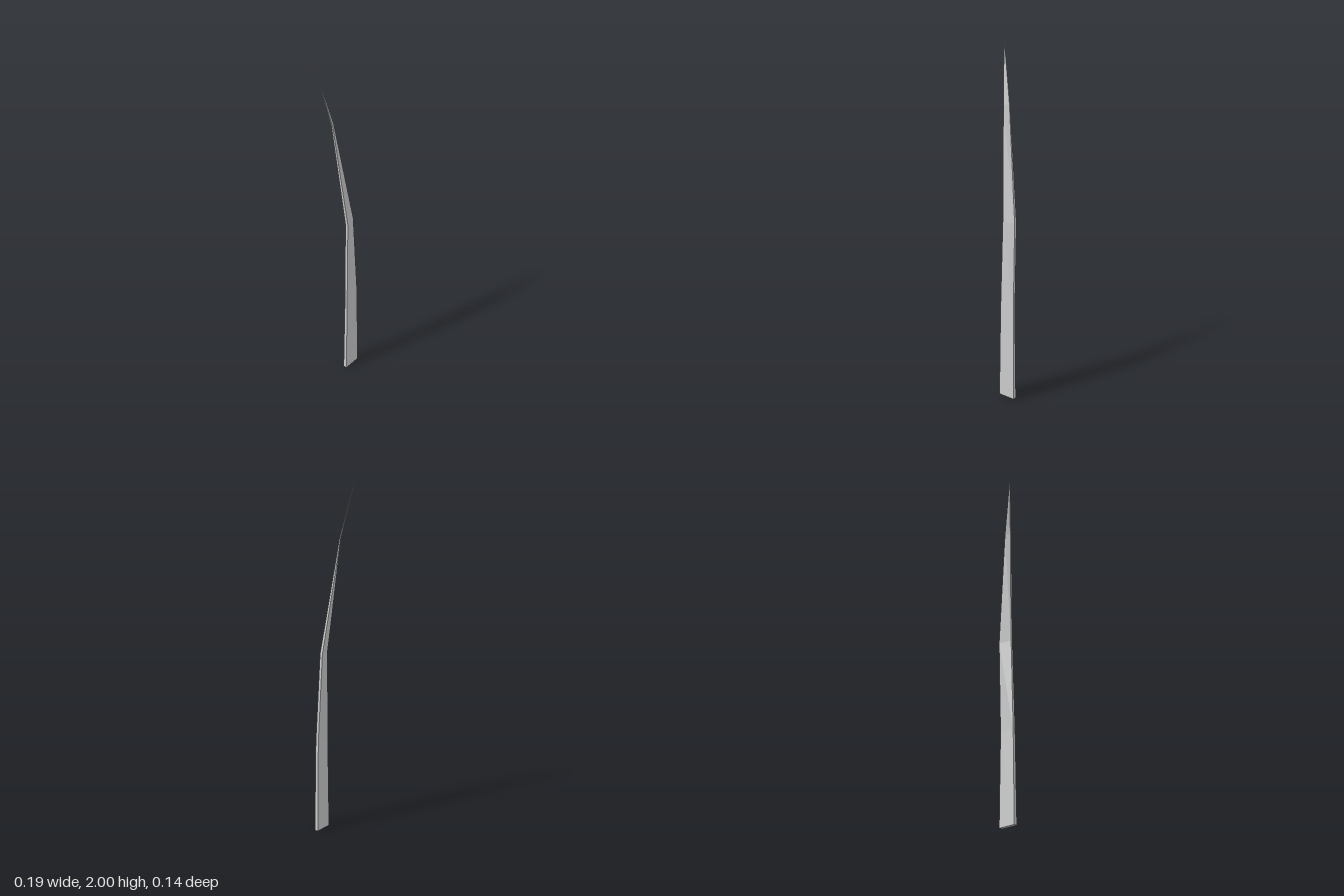
import * as THREE from 'three';

// Cross-sections from root to tip: height, then [x, z] of the
// front-right, front-left, back-left and back-right corners.
const SECTIONS = [
  { y: 0, ring: [[-0.01, 0.07], [0.092, 0.07], [0.092, 0.049], [-0.01, 0.049]] },
  { y: 0.52, ring: [[-0.003, 0.067], [0.086, 0.065], [0.084, 0.049], [-0.003, 0.051]] },
  { y: 1.03, ring: [[0.008, 0.06], [0.075, 0.042], [0.075, 0.026], [0.005, 0.045]] },
  { y: 1.65, ring: [[-0.04, -0.003], [-0.013, -0.02], [-0.014, -0.027], [-0.04, -0.012]] },
];
const TIP = [-0.094, 2, -0.073];

// Skin the rings, close the root and gather the last ring into the tip
function bladeGeometry() {
  const positions = [];
  const index = [];
  for (const { y, ring } of SECTIONS) {
    for (const [x, z] of ring) positions.push(x, y, z);
  }
  positions.push(...TIP);

  const last = (SECTIONS.length - 1) * 4;
  for (let side = 0; side < 4; side++) {
    const next = (side + 1) % 4;
    for (let base = 0; base < last; base += 4) {
      const a = base + side, b = base + next;
      index.push(a, b, a + 4, b, b + 4, a + 4);
    }
    index.push(last + side, last + next, last + 4);
  }
  index.push(0, 3, 2, 0, 2, 1);

  const geometry = new THREE.BufferGeometry();
  geometry.setAttribute('position', new THREE.Float32BufferAttribute(positions, 3));
  geometry.setIndex(index);
  const faceted = geometry.toNonIndexed();
  faceted.computeVertexNormals();
  return faceted;
}

export function createModel() {
  const group = new THREE.Group();
  group.name = 'grassBlade';
  const material = new THREE.MeshStandardMaterial({ color: 0xcccccc, flatShading: true });
  const blade = new THREE.Mesh(bladeGeometry(), material);
  blade.name = 'blade';
  group.add(blade);
  return group;
}
